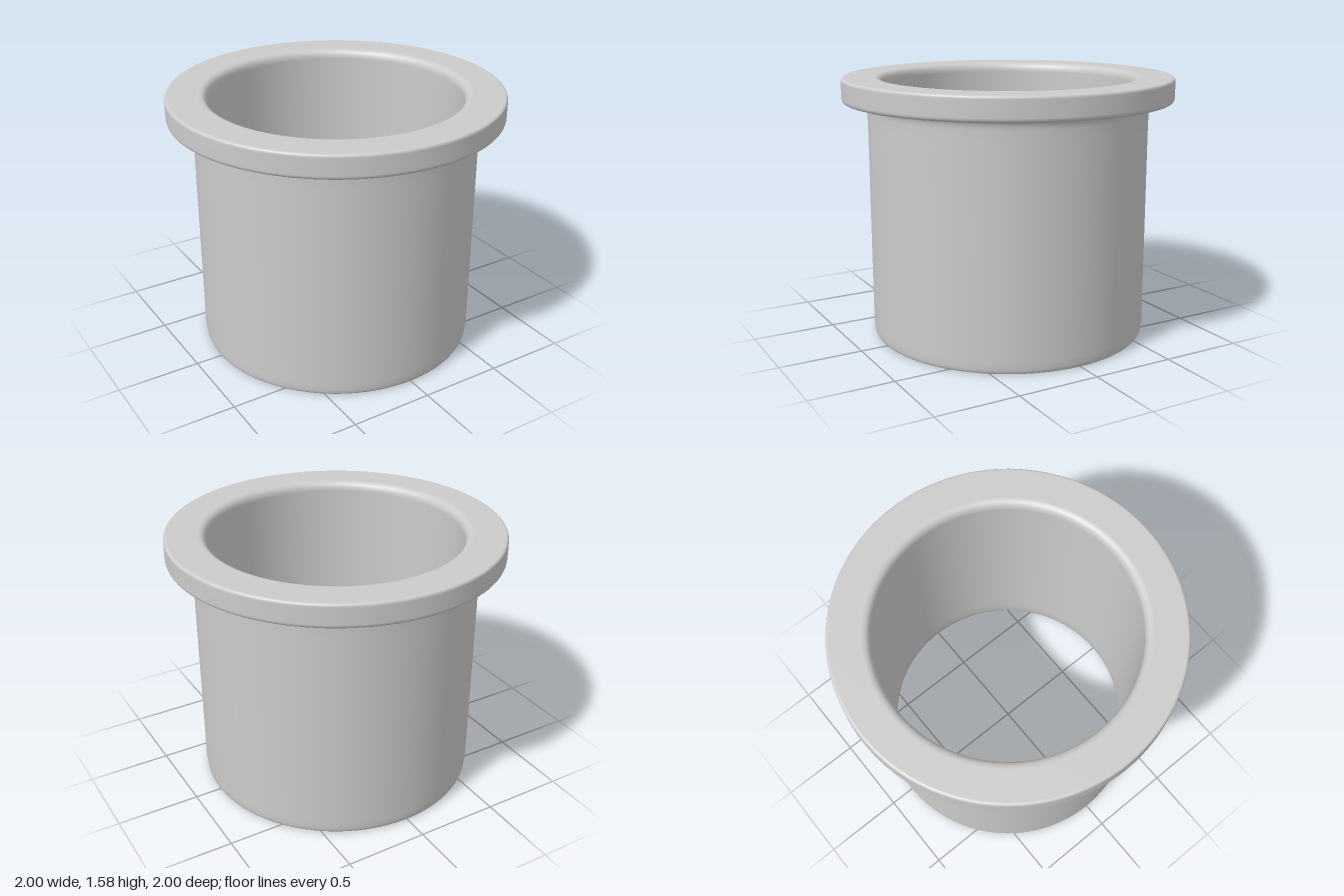
import * as THREE from 'three';

export function createModel() {
  const group = new THREE.Group();
  const material = new THREE.MeshStandardMaterial({ color: 0xcccccc });

  // Closed wall section: up the outside, over the flange, down the straight bore
  const section = new THREE.Path();
  section.moveTo(0.815, 0);
  section.lineTo(0.832, 0);
  section.quadraticCurveTo(0.842, 0.002, 0.845, 0.03); // rounded foot
  section.lineTo(0.848, 0.07);
  section.lineTo(0.848, 1.3);
  section.lineTo(0.85, 1.38);
  section.quadraticCurveTo(0.852, 1.433, 0.885, 1.435); // neck fillet
  section.lineTo(0.975, 1.438);
  section.quadraticCurveTo(0.999, 1.44, 1, 1.465); // flange lower edge
  section.lineTo(1, 1.562);
  section.quadraticCurveTo(1, 1.582, 0.98, 1.582); // flange upper edge
  section.lineTo(0.805, 1.582);
  section.quadraticCurveTo(0.757, 1.58, 0.755, 1.525); // rounded mouth
  section.lineTo(0.755, 0.2); // bore
  section.quadraticCurveTo(0.757, 0.01, 0.815, 0); // flared lower mouth

  const geometry = new THREE.LatheGeometry(section.getPoints(8), 128);
  const sleeve = new THREE.Mesh(geometry, material);
  sleeve.name = 'flangedSleeve';
  group.add(sleeve);
  return group;
}
